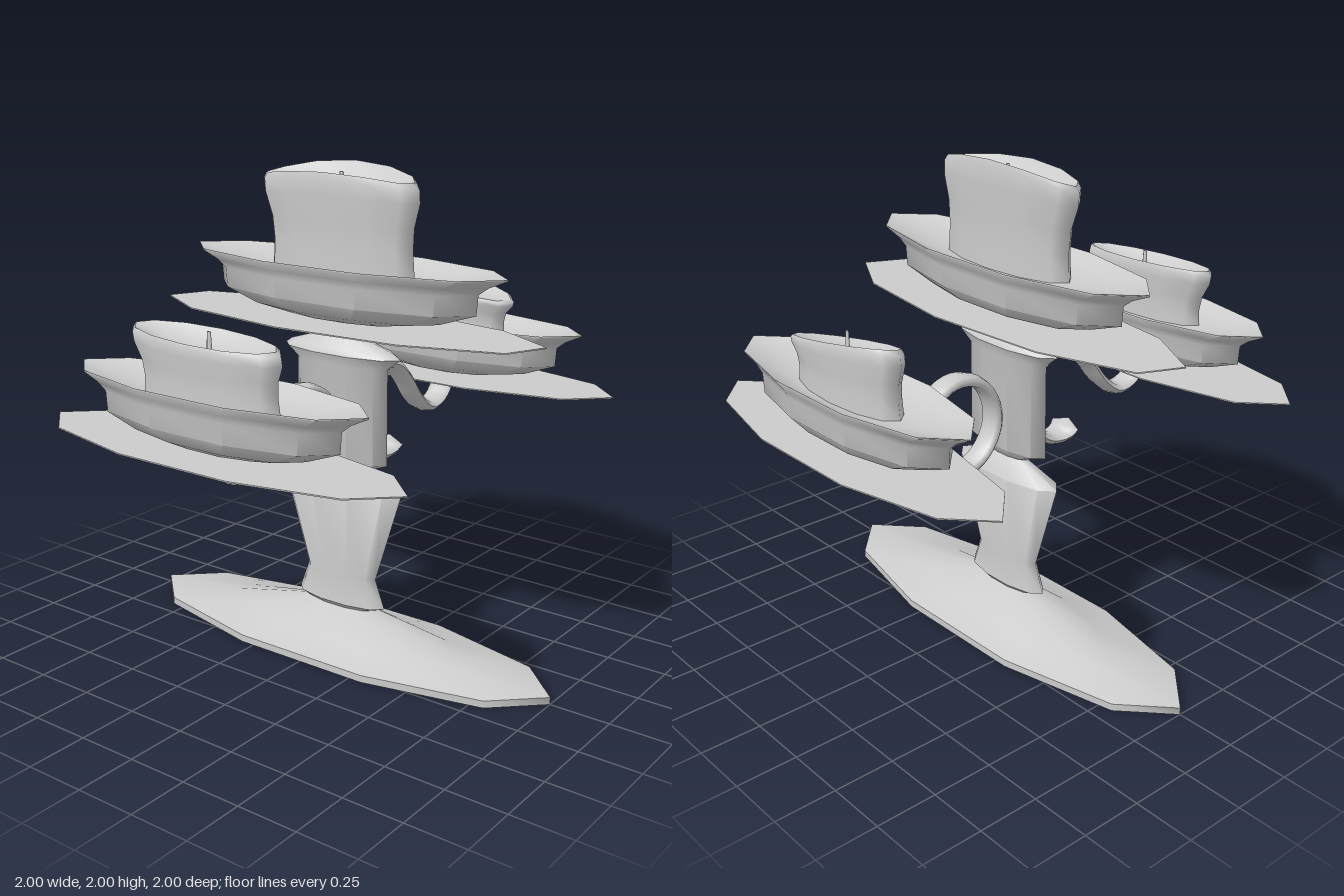
import * as THREE from 'three';
import { toCreasedNormals } from 'three/addons/utils/BufferGeometryUtils.js';

const DEPTH = 3.28; // everything turned is stretched along z
const material = new THREE.MeshStandardMaterial({ color: 0xcccccc, side: THREE.DoubleSide });

function addMesh(parent, name, geometry, x = 0, y = 0) {
  const mesh = new THREE.Mesh(geometry, material);
  mesh.name = name;
  mesh.position.set(x, y, 0);
  parent.add(mesh);
  return mesh;
}

// Ten-sided turned part; creased while round, then stretched in depth
function turned(profile, { sides = 10, turn = 0, deform = null } = {}) {
  const points = profile.map(([r, y]) => new THREE.Vector2(r, y));
  let geometry = new THREE.LatheGeometry(points, sides, turn);
  if (deform) {
    const p = geometry.attributes.position;
    const v = new THREE.Vector3();
    for (let i = 0; i < p.count; i++) {
      v.fromBufferAttribute(p, i);
      deform(v);
      p.setXYZ(i, v.x, v.y, v.z);
    }
  }
  geometry = toCreasedNormals(geometry, 0.75);
  geometry.scale(1, 1, DEPTH);
  return geometry;
}

// Drip plate with a conical underside, and the cup standing on it
function addHolder(parent, x, y, plateRadius, cupScale, turn) {
  const plate = [[0, -0.065], [0.035, -0.06], [plateRadius, -0.005], [plateRadius, 0], [0, 0]];
  addMesh(parent, 'dripPlate', turned(plate, { turn }), x, y);
  const cup = [
    [0, 0], [0.08, 0.005], [0.14, 0.035], [0.19, 0.09], [0.192, 0.17], [0.205, 0.2],
    [0.23, 0.235], [0.23, 0.24], [0.19, 0.215], [0.13, 0.19], [0, 0.185],
  ].map(([r, h]) => [r * cupScale, h]);
  addMesh(parent, 'cup', turned(cup), x, y);
}

// Candle with a pinched waist, a hollow top and an uneven rim
function addCandle(parent, x, y, radius, height, rim, lean) {
  const profile = [
    [0, 0], [0.92, 0], [0.9, 0.3], [0.92, 0.55], [1, 0.8], [1, 0.94], [0.95, 1],
    [0.86, 0.97], [0.6, 0.9], [0, 0.86],
  ].map(([r, h]) => [r * radius, h * height]);
  const deform = (v) => {
    const t = v.y / height;
    const r = Math.hypot(v.x, v.z);
    const angle = Math.atan2(v.x, v.z);
    v.y += rim(angle) * t * t * Math.min(1, r / radius);
    v.z += lean * t * t;
  };
  addMesh(parent, 'candle', turned(profile, { sides: 12, deform }), x, y);
  const wick = new THREE.CylinderGeometry(0.004, 0.006, 0.09, 6);
  wick.scale(1, 1, 2.4);
  addMesh(parent, 'wick', wick, x, y + height * 0.86 + 0.03);
}

// Scrolled arm: a tube whose section varies and closes at both ends
function armGeometry() {
  const path = new THREE.CatmullRomCurve3([
    [0.76, 0.975], [0.7, 0.91], [0.61, 0.89], [0.52, 0.95], [0.43, 1.06], [0.34, 1.135],
    [0.25, 1.15], [0.155, 1.11], [0.095, 1.02], [0.085, 0.92], [0.135, 0.82], [0.22, 0.765],
    [0.3, 0.77], [0.345, 0.82],
  ].map(([x, y]) => new THREE.Vector3(x, y, 0)));
  const steps = 40, sides = 8;
  const geometry = new THREE.TubeGeometry(path, steps, 0.026, sides);
  const p = geometry.attributes.position;
  for (let i = 0; i <= steps; i++) {
    const c = path.getPointAt(i / steps);
    const flare = Math.max(0, (i - steps + 4) / 4);
    const closed = i === 0 || i === steps ? 0 : 1;
    for (let j = 0; j <= sides; j++) {
      const k = i * (sides + 1) + j;
      const s = closed * (1 + 0.55 * flare);
      p.setXYZ(k, c.x + (p.getX(k) - c.x) * s, c.y + (p.getY(k) - c.y) * s, p.getZ(k) * s * 2.2);
    }
  }
  geometry.computeVertexNormals();
  return geometry;
}

export function createModel() {
  const model = new THREE.Group();
  model.name = 'candelabrum';

  // Foot and stem
  addMesh(model, 'base', turned([
    [0, 0], [0.305, 0], [0.305, 0.03], [0.175, 0.075], [0.05, 0.165], [0, 0.165],
  ]));
  addMesh(model, 'lowerStem', turned([
    [0, 0.16], [0.05, 0.165], [0.067, 0.185], [0.053, 0.305], [0.09, 0.69], [0.032, 0.765],
  ]));
  addMesh(model, 'upperStem', turned([
    [0.03, 0.76], [0.069, 0.81], [0.069, 1.21], [0.087, 1.255], [0.078, 1.275], [0.025, 1.33],
  ]));

  // Middle light
  const middle = new THREE.Group();
  middle.name = 'middleLight';
  model.add(middle);
  addHolder(middle, 0, 1.385, 0.277, 1, 0.18);
  addCandle(middle, 0, 1.57, 0.115, 0.375,
    (a) => 0.045 * Math.sin(a) ** 2 + 0.015 * Math.sin(a), -0.005);

  // Side lights on mirrored arms
  const rims = {
    left: (a) => 0.02 * Math.sin(a) - 0.055 * Math.cos(a),
    right: (a) => 0.025 + 0.01 * Math.sin(a) - 0.01 * Math.cos(a),
  };
  const arm = armGeometry();
  for (const [side, sign] of [['left', 1], ['right', -1]]) {
    const light = new THREE.Group();
    light.name = side + 'Light';
    model.add(light);
    const scroll = addMesh(light, 'arm', arm);
    if (sign < 0) scroll.rotation.y = Math.PI;
    addHolder(light, sign * 0.757, 1.03, 0.255, 0.9, 0);
    addCandle(light, sign > 0 ? 0.768 : -0.782, 1.215, side === 'left' ? 0.101 : 0.107, 0.215,
      rims[side], side === 'left' ? 0.005 : -0.008);
  }
  return model;
}
